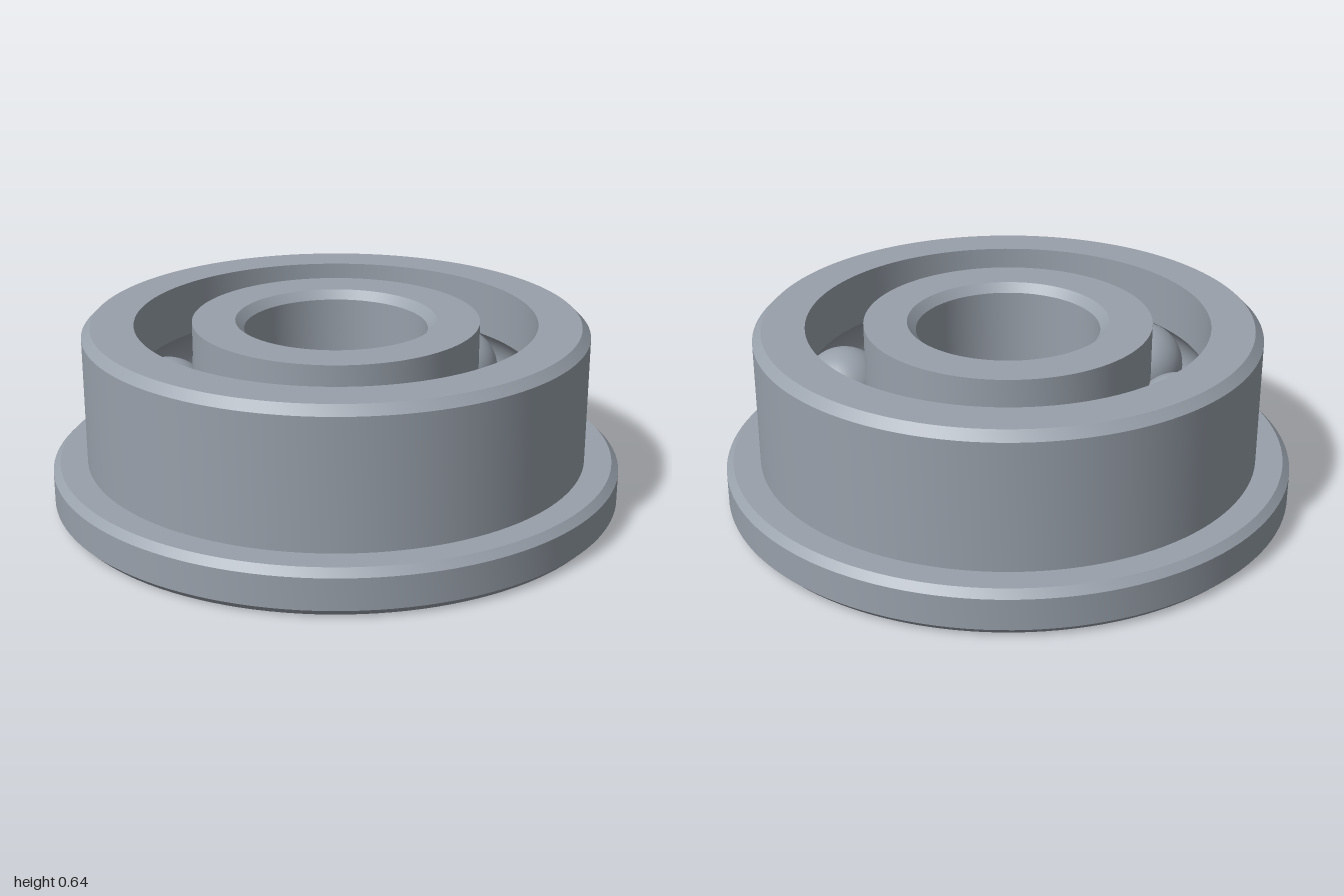
import * as THREE from 'three';
import { toCreasedNormals } from 'three/addons/utils/BufferGeometryUtils.js';

const HEIGHT = 0.64, MID = HEIGHT / 2;
const PITCH = 0.6, BALL = 0.155, GROOVE = 0.157;
const BALL_COUNT = 8, BALL_OFFSET = THREE.MathUtils.degToRad(11.7);

// Half-angle of the groove arc where it meets the race wall, 0.1 from the pitch circle
const HALF = Math.acos(0.1 / GROOVE);

// Groove cross-section, swept clockwise around the ball centre
function groove(facing, steps = 12) {
  const points = [];
  for (let i = 0; i <= steps; i++) {
    const a = facing + HALF - (2 * HALF * i) / steps;
    points.push([PITCH + GROOVE * Math.cos(a), MID + GROOVE * Math.sin(a)]);
  }
  return points;
}

// Closed ring turned from a counterclockwise (radius, height) profile
function ring(name, profile, material) {
  const points = [...profile, profile[0]].map(([r, y]) => new THREE.Vector2(r, y));
  const geometry = toCreasedNormals(new THREE.LatheGeometry(points, 128), Math.PI / 7);
  const mesh = new THREE.Mesh(geometry, material);
  mesh.name = name;
  return mesh;
}

export function createModel() {
  const steel = new THREE.MeshStandardMaterial({ color: 0x98a0aa });
  steel.name = 'steel';

  const model = new THREE.Group();
  model.name = 'flangedBallBearing';

  // Outer race with chamfered flange at the bottom
  model.add(ring('outerRace', [
    [0.7, 0], [0.975, 0], [1, 0.025], [1, 0.135], [0.975, 0.16],
    [0.88, 0.16], [0.88, 0.61], [0.85, HEIGHT], [0.7, HEIGHT],
    ...groove(0),
  ], steel));

  // Inner race with a bore chamfered at both ends
  model.add(ring('innerRace', [
    [0.35, 0], [0.5, 0],
    ...groove(Math.PI),
    [0.5, HEIGHT], [0.35, HEIGHT], [0.32, 0.61], [0.32, 0.03],
  ], steel));

  // Balls spaced evenly between the races
  const balls = new THREE.Group();
  balls.name = 'balls';
  const ballGeometry = new THREE.SphereGeometry(BALL, 40, 28);
  for (let i = 0; i < BALL_COUNT; i++) {
    const a = BALL_OFFSET + (i * Math.PI * 2) / BALL_COUNT;
    const ball = new THREE.Mesh(ballGeometry, steel);
    ball.name = 'ball' + (i + 1);
    ball.position.set(PITCH * Math.cos(a), MID, PITCH * Math.sin(a));
    balls.add(ball);
  }
  model.add(balls);

  return model;
}
